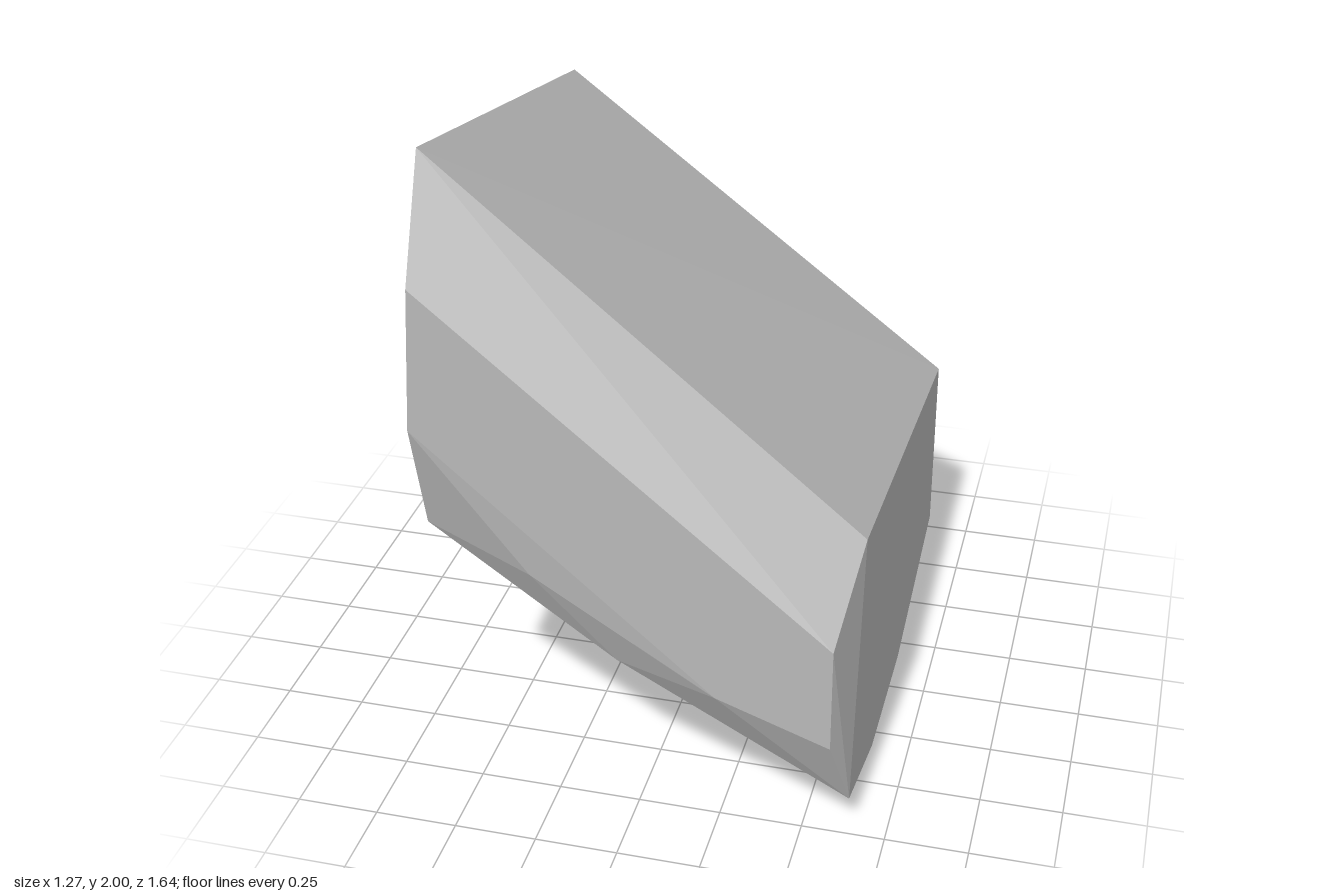
import * as THREE from 'three';
import { ConvexGeometry } from 'three/addons/geometries/ConvexGeometry.js';

const points = (list) => list.map(([x, y, z]) => new THREE.Vector3(x, y, z));

export function createModel() {
  const group = new THREE.Group();
  group.name = 'rockFragment';

  const stone = new THREE.MeshStandardMaterial({ color: 0xb8b8b8, flatShading: true });
  stone.name = 'stone grey';

  // Tall end outline
  const tallEnd = points([
    [-0.637, 1.715, -0.82], [-0.637, 2.0, 0.61], [-0.61, 1.675, 0.82], [-0.635, 1.235, 0.82],
    [-0.63, 0.885, 0.73], [-0.637, 0.755, 0.385], [-0.637, 0.755, -0.26], [-0.637, 0.945, -0.82],
  ]);

  // Low end outline
  const lowEnd = points([
    [0.637, 0.75, -0.82], [0.637, 0.935, 0.595], [0.59, 0.69, 0.82], [0.59, 0.355, 0.82],
    [0.637, 0.115, 0.73], [0.637, 0, 0.32], [0.637, 0, -0.17], [0.637, 0.155, -0.82],
  ]);

  // Bowed underside: rows between the ends, sagging below the straight line
  const underside = [];
  for (const row of [5, 6, 7]) {
    for (const [t, sag] of [[0.22, 0.063], [0.46, 0.085], [0.69, 0.075]]) {
      const p = tallEnd[row].clone().lerp(lowEnd[row], t);
      p.y -= sag;
      underside.push(p);
    }
  }

  // Chipped lower front edge
  const frontChips = points([
    [-0.3, 0.8, 0.805], [-0.06, 0.51, 0.755], [0.25, 0.475, 0.82], [-0.45, 0.64, 0.58], [0.22, 0.21, 0.56],
  ]);

  const fragment = new THREE.Mesh(
    new ConvexGeometry([...tallEnd, ...lowEnd, ...underside, ...frontChips]), stone);
  fragment.name = 'fragment';
  group.add(fragment);
  return group;
}
